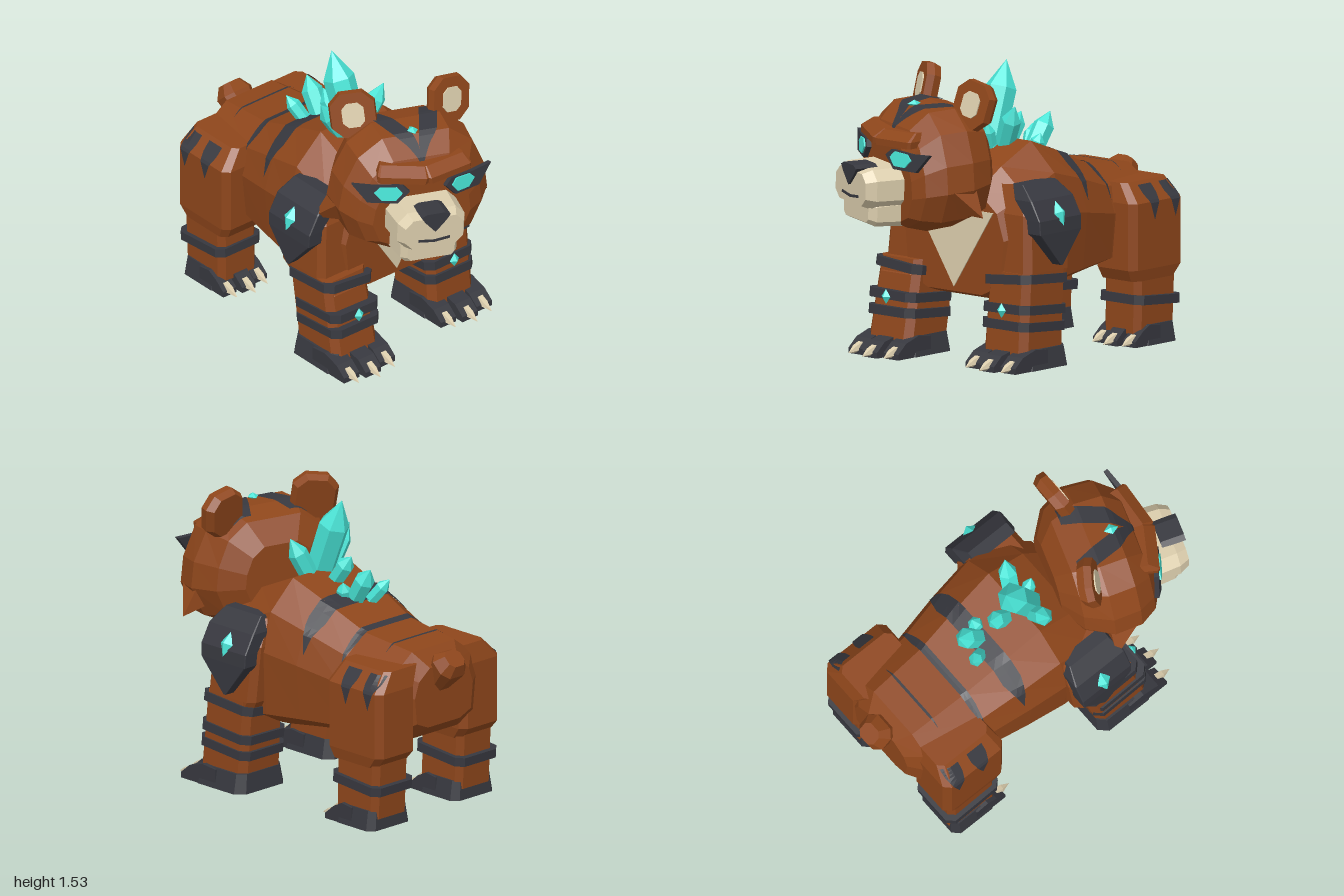
import * as THREE from 'three';

const mat = (name, color, extra = {}) => Object.assign(
  new THREE.MeshStandardMaterial({ color, flatShading: true, ...extra }), { name });
const DS = { side: THREE.DoubleSide };
const fur = mat('brown fur', 0x8e461b);
const dark = mat('charcoal', 0x37383f, DS);
const cream = mat('cream', 0xdccead, DS);
const crystal = mat('teal crystal', 0x48e4d6);

function add(parent, name, geo, material, pos = [0, 0, 0], rot = [0, 0, 0]) {
  const m = new THREE.Mesh(geo, material);
  m.name = name;
  m.position.set(...pos);
  m.rotation.set(...rot);
  parent.add(m);
  return m;
}

// Skin over equal-length rings (counter-clockwise about the loft axis), capped at both ends
function loft(rings) {
  const n = rings[0].length, pos = rings.flat(2), idx = [];
  for (let i = 0; i < rings.length - 1; i++) for (let j = 0; j < n; j++) {
    const a = i * n + j, b = i * n + (j + 1) % n;
    idx.push(a, b, b + n, a, b + n, a + n);
  }
  const last = (rings.length - 1) * n;
  for (let j = 1; j < n - 1; j++) idx.push(0, j + 1, j, last, last + j, last + j + 1);
  const g = new THREE.BufferGeometry();
  g.setAttribute('position', new THREE.Float32BufferAttribute(pos, 3));
  g.setIndex(idx);
  const flat = g.toNonIndexed();
  flat.computeVertexNormals();
  return flat;
}

// Upright bevelled column; levels are [y, centreX, centreZ, halfWidth, halfDepth]
const prism = (levels, c = 0.25) => loft(levels.map(([y, cx, cz, w, d]) => {
  const k = c * Math.min(w, d);
  return [[w - k, d], [w, d - k], [w, k - d], [w - k, -d], [k - w, -d], [-w, k - d], [-w, d - k], [k - w, d]]
    .map(([x, z]) => [cx + x, y, cz + z]);
}));

// Hull along z; stations are [z, halfWidth, top, bottom]
const hull = (stations, half) => {
  const profile = [...half, ...half.map(([x, y]) => [-x, y]).reverse()];
  return loft(stations.map(([z, w, t, b]) => profile.map(([x, y]) => [x * w, (t + b) / 2 + y * (t - b) / 2, z])));
};

// Thin painted patch: each grid point is projected onto a mesh toward its aim point
function drape(parent, name, target, rows, aim) {
  const ray = new THREE.Raycaster(), n = rows[0].length, pos = [], idx = [];
  rows.flat().forEach(p => {
    const o = new THREE.Vector3(...p), dir = new THREE.Vector3(...aim(p)).sub(o).normalize();
    ray.set(o, dir);
    const hit = ray.intersectObject(target)[0];
    const q = (hit ? hit.point : new THREE.Vector3(...aim(p))).clone().addScaledVector(dir, -0.008);
    pos.push(q.x, q.y, q.z);
  });
  for (let i = 0; i < rows.length - 1; i++) for (let j = 0; j < n - 1; j++) {
    const a = i * n + j;
    idx.push(a, a + 1, a + n + 1, a, a + n + 1, a + n);
  }
  const g = new THREE.BufferGeometry();
  g.setAttribute('position', new THREE.Float32BufferAttribute(pos, 3));
  g.setIndex(idx);
  g.computeVertexNormals();
  return add(parent, name, g, dark);
}

// Turned shape running from base to tip; profile is [radius, fraction of length]
function spike(parent, name, base, tip, profile, sides, material) {
  const d = new THREE.Vector3(...tip).sub(new THREE.Vector3(...base)), h = d.length();
  const m = add(parent, name, new THREE.LatheGeometry(profile.map(([r, t]) => new THREE.Vector2(r, t * h)), sides), material, base);
  m.quaternion.setFromUnitVectors(new THREE.Vector3(0, 1, 0), d.normalize());
}

const plate = (pts, depth) => new THREE.ExtrudeGeometry(
  new THREE.Shape(pts.map(p => new THREE.Vector2(...p))), { depth, bevelEnabled: false });
const gem = (parent, name, pos, scale, rot) =>
  add(parent, name, new THREE.OctahedronGeometry(1), crystal, pos, rot).scale.set(...scale);
const range = (n, f) => Array.from({ length: n + 1 }, (_, i) => f(i / n));

function buildBody(g) {
  const body = add(g, 'body', hull([
    [-0.88, 0.21, 0.82, 0.50], [-0.80, 0.32, 0.90, 0.43], [-0.47, 0.35, 0.935, 0.40], [-0.2, 0.40, 1.045, 0.37],
    [0.02, 0.43, 1.125, 0.34], [0.25, 0.43, 1.02, 0.32], [0.38, 0.34, 0.90, 0.36],
  ], [[0.55, -1], [0.93, -0.78], [1, 0.1], [0.86, 0.62], [0.48, 1]]), fur);
  // Tapered stripes wrapped over the back
  for (const [z, w, reach] of [[-0.23, 0.05, 1.2], [-0.46, 0.02, 1.25], [-0.67, 0.007, 0.75]]) {
    drape(g, 'back stripe', body, range(20, t => {
      const a = (t * 2 - 1) * reach, k = w * Math.min(1, 2.5 * (1 - Math.abs(t * 2 - 1)));
      return [-k, 0, k].map(d => [Math.sin(a), 0.65 + Math.cos(a), z + d]);
    }), p => [0, 0.65, p[2]]);
  }
  add(g, 'chest patch', plate([[-0.27, 0.8], [0, 0.385], [0.27, 0.8]], 0.006), cream, [0, 0, 0.381]);
  add(g, 'tail', prism([[0, 0, 0, 0.06, 0.07], [0.13, 0, 0, 0.09, 0.08], [0.19, 0, 0, 0.055, 0.05]], 0.5),
    fur, [0, 0.73, -0.83], [-0.75, 0, 0]);
}

function buildFoot(g, x, z, len, spread) {
  const foot = new THREE.Group();
  foot.name = 'paw';
  foot.position.set(x, 0, z);
  g.add(foot);
  add(foot, 'heel', prism([[0, 0, len * 0.38, spread * 1.65, len * 0.38], [0.105, 0, len * 0.36, spread * 1.45, len * 0.34]]), dark);
  for (const i of [-1, 0, 1]) {
    const w = spread * 0.95, l = len - Math.abs(i) * 0.03;
    const toe = plate([[len * 0.4, 0], [l, 0], [l, 0.03], [l - 0.06, 0.08], [len * 0.6, 0.11], [len * 0.4, 0.1]], w);
    toe.rotateY(-Math.PI / 2).translate(w / 2, 0, 0);
    add(foot, 'toe', toe, dark, [i * spread * 1.12, 0, 0]);
    spike(foot, 'claw', [i * spread * 1.12, 0.042, l - 0.04], [i * spread * 1.12, 0.012, l + 0.06],
      [[0, 0], [0.026, 0], [0.022, 0.45], [0, 1]], 5, cream);
  }
}

function buildLeg(g, s, front) {
  const step = s > 0 ? 0 : front ? 0.09 : 0.05; // stride of the right side
  const leg = new THREE.Group();
  leg.name = front ? 'frontLeg' : 'hindLeg';
  g.add(leg);
  const band = (x, y, z, w, d, roll) => add(leg, 'leg band',
    prism([[-0.024, 0, 0, w, d], [0.024, 0, 0, w, d]]), dark, [x, y, z], [-0.08, 0, s * roll]);
  if (front) {
    const x = s * 0.36, zAt = y => 0.25 - (y - 0.1) * 0.08 + step * Math.min(1, (0.62 - y) / 0.3);
    add(leg, 'lower leg', prism([[0.06, x, zAt(0.06), 0.15, 0.165], [0.5, x, zAt(0.5), 0.14, 0.16]]), fur);
    add(leg, 'upper leg', prism([[0.42, x, zAt(0.42), 0.135, 0.15], [0.5, x, 0.2, 0.14, 0.17],
      [0.8, s * 0.35, 0.18, 0.13, 0.17], [0.94, s * 0.3, 0.16, 0.1, 0.13]]), fur);
    for (const [y, roll] of [[0.215, 0], [0.3, 0.02], [0.45, 0.09]]) band(s * 0.355, y, zAt(y), 0.16, 0.178, roll);
    gem(leg, 'leg gem', [x, 0.305, zAt(0.3) + 0.185], [0.03, 0.04, 0.025]);
    buildFoot(leg, s * 0.365, 0.07 + step, 0.47, 0.108);
    // Shield-shaped shoulder armour
    add(leg, 'shoulder plate', prism([[0.535, s * 0.515, 0.17, 0.042, 0.008], [0.71, s * 0.515, 0.18, 0.045, 0.16],
      [0.78, s * 0.51, 0.18, 0.046, 0.163], [0.88, s * 0.44, 0.18, 0.06, 0.163], [0.955, s * 0.375, 0.18, 0.035, 0.13]], 0.1), dark);
    gem(leg, 'shoulder gem', [s * 0.54, 0.805, 0.17], [0.03, 0.068, 0.045], [0, 0, s * 0.45]);
  } else {
    const x = s * 0.33, z = -0.68 + step;
    const thigh = add(leg, 'thigh', prism([[0.34, x, z + 0.01, 0.13, 0.16], [0.40, x, z, 0.14, 0.2],
      [0.75, x, z, 0.14, 0.2], [0.85, s * 0.26, z, 0.12, 0.17]]), fur);
    add(leg, 'lower leg', prism([[0.06, x, z, 0.125, 0.15], [0.38, x, z - 0.01, 0.125, 0.155]]), fur);
    band(x, 0.23, z - 0.01, 0.15, 0.175, 0);
    buildFoot(leg, x, z - 0.15, 0.37, 0.092);
    for (const dz of [0.04, -0.12]) drape(leg, 'thigh stripe', thigh, range(12, t =>
      [-1, 0, 1].map(k => [s, 0.655 + t * 0.18, z + dz + k * 0.05 * Math.min(1, t * 1.3)])), p => [0, p[1], p[2]]);
  }
}

function buildHead(g) {
  const head = new THREE.Group();
  head.name = 'head';
  const skull = add(head, 'skull', hull([
    [-0.24, 0.21, 0.18, -0.16], [-0.16, 0.34, 0.30, -0.25], [-0.02, 0.42, 0.335, -0.285], [0.13, 0.41, 0.325, -0.30],
    [0.225, 0.345, 0.235, -0.28], [0.265, 0.27, 0.15, -0.26],
  ], [[0.45, -1], [0.84, -0.76], [1, -0.25], [0.95, 0.2], [0.77, 0.7], [0.45, 1]]), fur);
  const along = [Math.PI / 2, 0, 0];
  add(head, 'muzzle', prism([[0.24, 0, 0.07, 0.195, 0.11], [0.42, 0, 0.07, 0.185, 0.105], [0.475, 0, 0.07, 0.16, 0.085]], 0.5), cream, [-0.01, 0, 0], along);
  add(head, 'lower jaw', prism([[0.24, 0, 0.2, 0.165, 0.075], [0.40, 0, 0.2, 0.155, 0.065], [0.44, 0, 0.195, 0.13, 0.05]], 0.4), cream, [-0.01, 0, 0], along);
  add(head, 'nose', plate([[-0.08, 0.01], [-0.06, -0.02], [0, -0.085], [0.06, -0.02], [0.08, 0.01], [0.05, 0.025], [-0.05, 0.025]], 0.13), dark, [-0.01, 0.025, 0.36]);
  for (const s of [-1, 1]) {
    add(head, 'mouth line', new THREE.BoxGeometry(0.09, 0.014, 0.008), dark, [s * 0.042 - 0.01, -0.115, 0.475], [0, 0, s * 0.12]);
    // Eye mask with a glowing eye on it
    const eye = new THREE.Group();
    eye.name = 'eye';
    eye.position.set(s * 0.197, 0.095, 0.277);
    eye.rotation.set(-0.12, s * 0.32, 0);
    head.add(eye);
    const flip = pts => pts.map(([x, y]) => [x * s, y]);
    add(eye, 'eye mask', plate(flip([[-0.11, 0.005], [-0.075, 0.04], [0.07, 0.04], [0.19, 0.055], [0.11, -0.05], [-0.045, -0.06]]), 0.025), dark);
    add(eye, 'iris', plate(flip([[-0.073, 0], [-0.045, 0.034], [0.045, 0.034], [0.075, 0.005], [0.037, -0.038], [-0.037, -0.042]]), 0.008), crystal, [0, 0, 0.025]);
    add(head, 'brow', prism([[-0.025, 0, 0, 0.13, 0.05], [0.01, 0, 0, 0.135, 0.05], [0.05, 0, -0.04, 0.12, 0.03]]), fur, [s * 0.12, 0.175, 0.27], [0, s * 0.25, s * 0.06]);
    // Cheek fur and ears
    spike(head, 'cheek tuft', [s * 0.33, -0.08, 0.03], [s * 0.48, -0.19, -0.04], [[0, 0], [0.12, 0], [0, 1]], 4, fur);
    const ear = new THREE.Group();
    ear.name = 'ear';
    ear.position.set(s * 0.26, 0.36, -0.105);
    ear.rotation.set(-0.22, s * 0.31, s * -0.08);
    head.add(ear);
    add(ear, 'ear shell', prism([[-0.04, 0, 0, 0.1, 0.11], [0, 0, 0, 0.122, 0.125], [0.04, 0, 0, 0.115, 0.12]], 0.5), fur, [0, 0, 0], along);
    add(ear, 'inner ear', prism([[0.038, 0, 0, 0.058, 0.066], [0.047, 0, 0, 0.058, 0.066]], 0.5), cream, [0, 0, 0], along);
    // Forehead stripes meeting above the nose
    drape(head, 'forehead stripe', skull, range(14, t => range(3, k => {
      const inner = 0.11 * Math.max(0, 1 - t * 1.25), outer = inner + 0.1 * Math.min(1, (1 - t) * 3);
      return [s * (inner + k * (outer - inner)), 1, -0.12 + t * 0.375];
    })), p => [p[0], 0, p[2]]);
  }
  gem(head, 'forehead gem', [-0.01, 0.335, 0.11], [0.03, 0.02, 0.04]);
  head.position.set(-0.046, 1.03, 0.5);
  head.rotation.set(0, -0.34, -0.04, 'YXZ');
  g.add(head);
}

function buildCrystals(g) {
  // [base, tip, radius]
  const list = [
    [[-0.03, 1.04, 0.09], [-0.05, 1.51, -0.08], 0.083], [[-0.07, 1.05, 0.06], [-0.24, 1.32, 0.06], 0.05],
    [[0.03, 1.04, 0.04], [0.16, 1.31, 0.09], 0.052], [[-0.02, 1.05, -0.04], [-0.03, 1.23, -0.17], 0.048],
    [[0, 1.04, 0.09], [0.02, 1.22, 0.15], 0.035], [[0, 0.98, -0.2], [0.01, 1.21, -0.35], 0.056],
    [[-0.06, 0.98, -0.25], [-0.12, 1.13, -0.36], 0.038], [[0.03, 0.98, -0.18], [0.07, 1.12, -0.21], 0.038],
  ];
  for (const [base, tip, r] of list)
    spike(g, 'back crystal', base, tip, [[0, 0], [r * 0.93, 0], [r, 0.7], [0, 1]], 6, crystal);
}

export function createModel() {
  const g = new THREE.Group();
  g.name = 'crystal bear';
  buildBody(g);
  for (const s of [-1, 1]) for (const front of [true, false]) buildLeg(g, s, front);
  buildHead(g);
  buildCrystals(g);
  return g;
}
